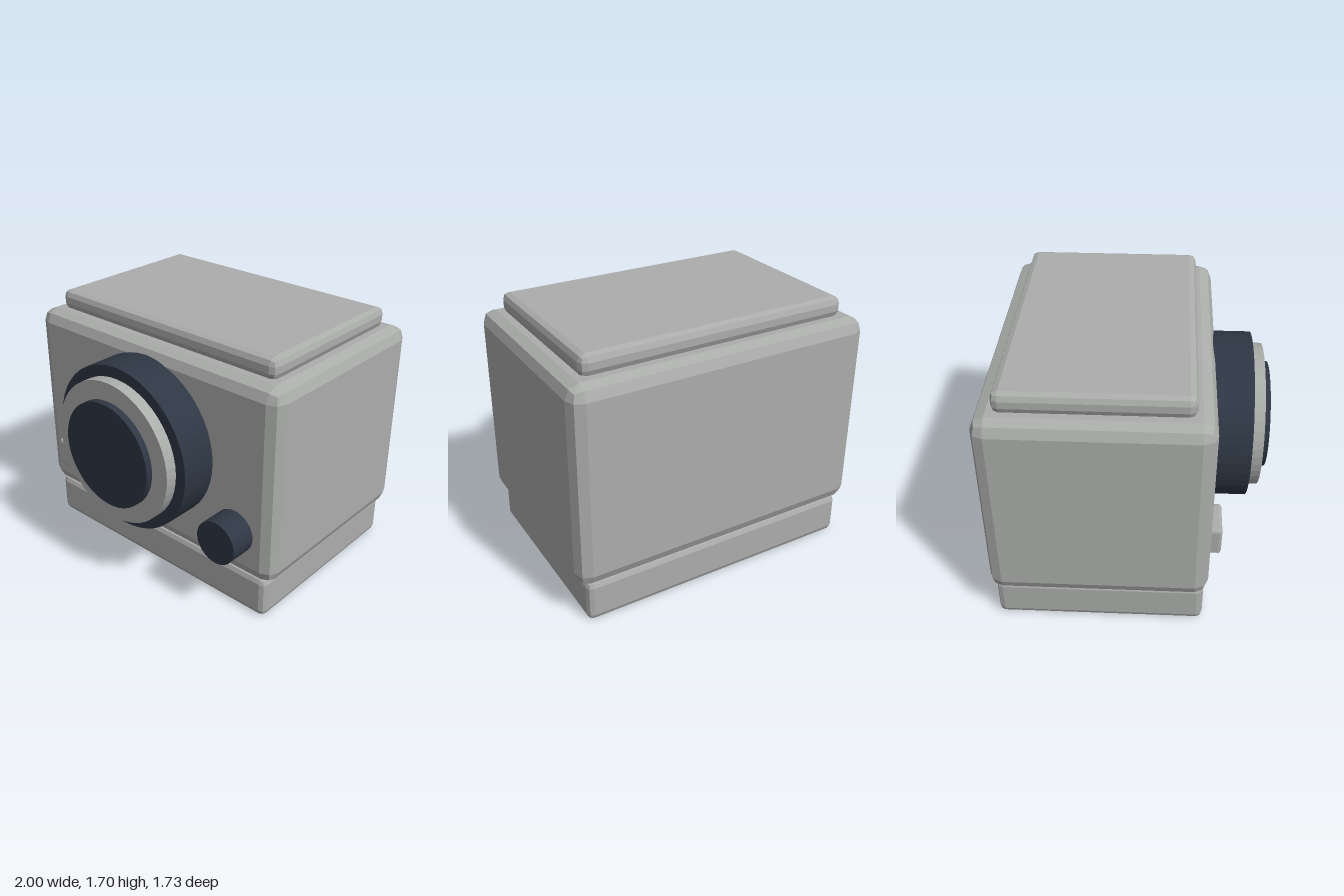
import * as THREE from 'three';
import { RoundedBoxGeometry } from 'three/addons/geometries/RoundedBoxGeometry.js';

export function createModel() {
  const model = new THREE.Group();
  model.name = 'boxCamera';

  const grey = new THREE.MeshStandardMaterial({ color: 0xabadab, flatShading: true });
  grey.name = 'light grey';
  const dark = new THREE.MeshStandardMaterial({ color: 0x2e3744, flatShading: true });
  dark.name = 'dark slate';

  // Box with two-facet bevels, given by its limits on each axis
  function block(name, [x0, x1], [y0, y1], [z0, z1], bevel) {
    const geometry = new RoundedBoxGeometry(x1 - x0, y1 - y0, z1 - z0, 1, bevel);
    const mesh = new THREE.Mesh(geometry, grey);
    mesh.name = name;
    mesh.position.set((x0 + x1) / 2, (y0 + y1) / 2, (z0 + z1) / 2);
    model.add(mesh);
  }

  // Disc facing forwards, from z0 to z1
  function disc(name, material, x, y, radius, z0, z1, sides) {
    const geometry = new THREE.CylinderGeometry(radius, radius, z1 - z0, sides);
    geometry.rotateX(Math.PI / 2);
    const mesh = new THREE.Mesh(geometry, material);
    mesh.name = name;
    mesh.position.set(x, y, (z0 + z1) / 2);
    model.add(mesh);
  }

  // Stacked housing
  block('base', [-0.94, 0.94], [0, 0.28], [-0.835, 0.48], 0.04);
  block('body', [-1, 1], [0.27, 1.575], [-0.865, 0.505], 0.085);
  block('lid', [-0.885, 0.885], [1.565, 1.7], [-0.75, 0.39], 0.045);

  // Stepped lens
  disc('lensBarrel', dark, 0, 0.975, 0.54, 0.49, 0.745, 48);
  disc('lensRing', grey, 0, 0.975, 0.467, 0.7, 0.82, 48);
  disc('lensGlass', dark, 0, 0.975, 0.347, 0.78, 0.865, 48);

  // Front controls
  disc('knob', dark, 0.715, 0.575, 0.143, 0.49, 0.68, 32);
  block('button', [-0.815, -0.56], [0.475, 0.672], [0.45, 0.58], 0.018);

  return model;
}
